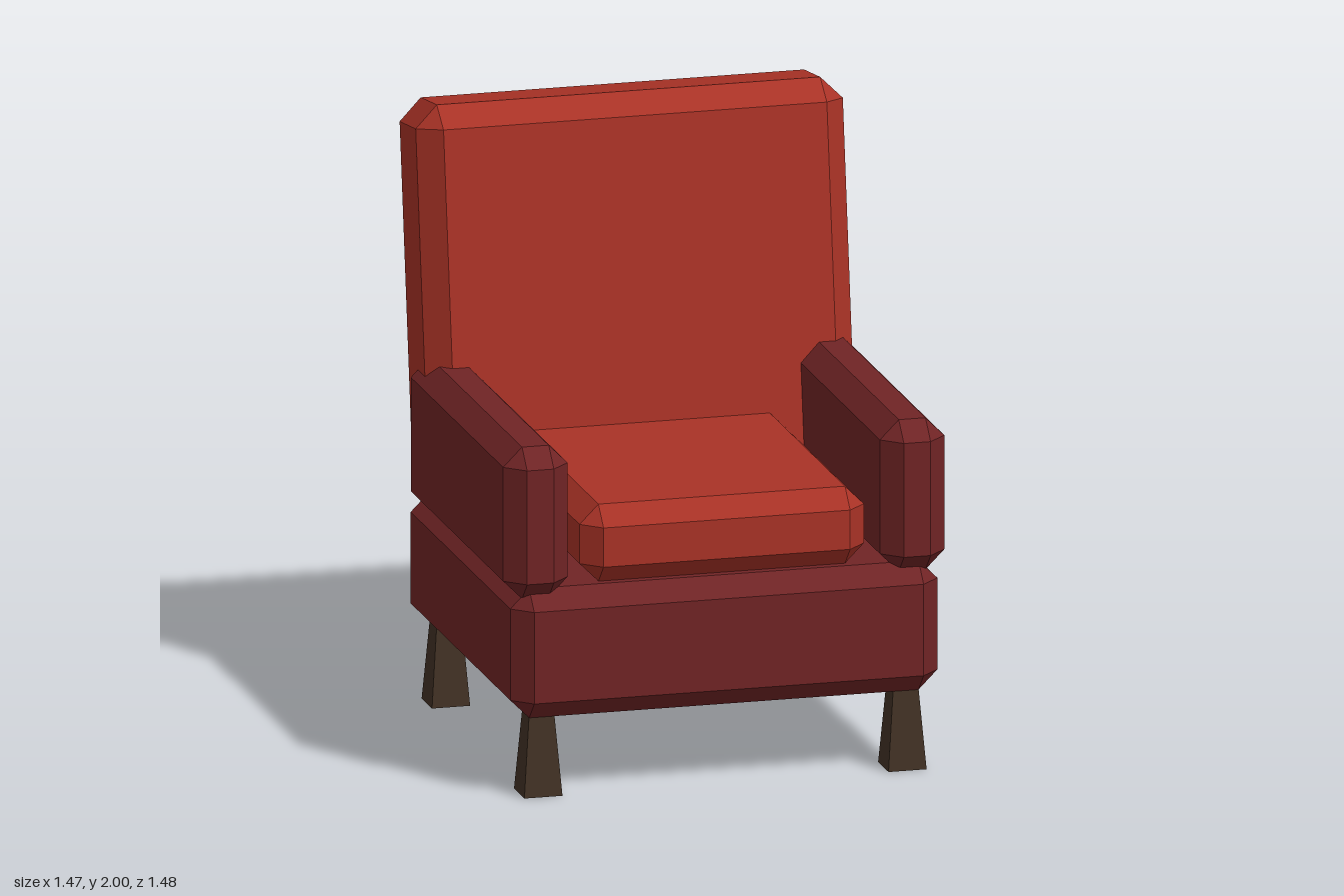
import * as THREE from 'three';
import { ConvexGeometry } from 'three/addons/geometries/ConvexGeometry.js';

const material = (name, color) => {
  const m = new THREE.MeshStandardMaterial({ color });
  m.name = name;
  return m;
};

// Box with flat bevels on every edge: three points around each corner
function bevelledBox(w, h, d, bevel) {
  const x = w / 2, y = h / 2, z = d / 2, points = [];
  for (const i of [-1, 1]) for (const j of [-1, 1]) for (const k of [-1, 1]) {
    points.push(
      new THREE.Vector3(i * x, j * (y - bevel), k * (z - bevel)),
      new THREE.Vector3(i * (x - bevel), j * y, k * (z - bevel)),
      new THREE.Vector3(i * (x - bevel), j * (y - bevel), k * z)
    );
  }
  return new ConvexGeometry(points);
}

// Square leg, wider at the foot
function taperedLeg(top, foot, height) {
  const geo = new THREE.BoxGeometry(1, height, 1);
  const pos = geo.attributes.position;
  for (let i = 0; i < pos.count; i++) {
    const s = pos.getY(i) > 0 ? top : foot;
    pos.setX(i, pos.getX(i) * s);
    pos.setZ(i, pos.getZ(i) * s);
  }
  geo.computeVertexNormals();
  return geo;
}

export function createModel() {
  const red = material('redUpholstery', 0xa93226);
  const maroon = material('maroonUpholstery', 0x702425);
  const wood = material('darkWood', 0x423225);

  const chair = new THREE.Group();
  chair.name = 'armchair';
  const add = (name, geo, mat, x, y, z) => {
    const mesh = new THREE.Mesh(geo, mat);
    mesh.name = name;
    mesh.position.set(x, y, z);
    chair.add(mesh);
    return mesh;
  };

  // Base and seat
  add('base', bevelledBox(1.424, 0.431, 1.34, 0.063), maroon, 0, 0.4775, 0.072);
  add('seatCushion', bevelledBox(0.948, 0.257, 1.166, 0.063), red, 0, 0.8225, 0.133);

  // Reclined backrest
  const back = add('backrest', bevelledBox(1.424, 1.335, 0.344, 0.073), red, 0, 1.322, -0.489);
  back.rotation.x = THREE.MathUtils.degToRad(-8);

  // Arms and legs, mirrored left and right
  const armGeo = bevelledBox(0.215, 0.506, 1.252, 0.063);
  const legGeo = taperedLeg(0.084, 0.127, 0.27);
  for (const side of [1, -1]) {
    const label = side > 0 ? 'left' : 'right';
    add(label + 'Arm', armGeo, maroon, side * 0.628, 0.914, 0.115);
    add(label + 'FrontLeg', legGeo, wood, side * 0.607, 0.135, 0.636);
    add(label + 'BackLeg', legGeo, wood, side * 0.607, 0.135, -0.49);
  }
  return chair;
}
